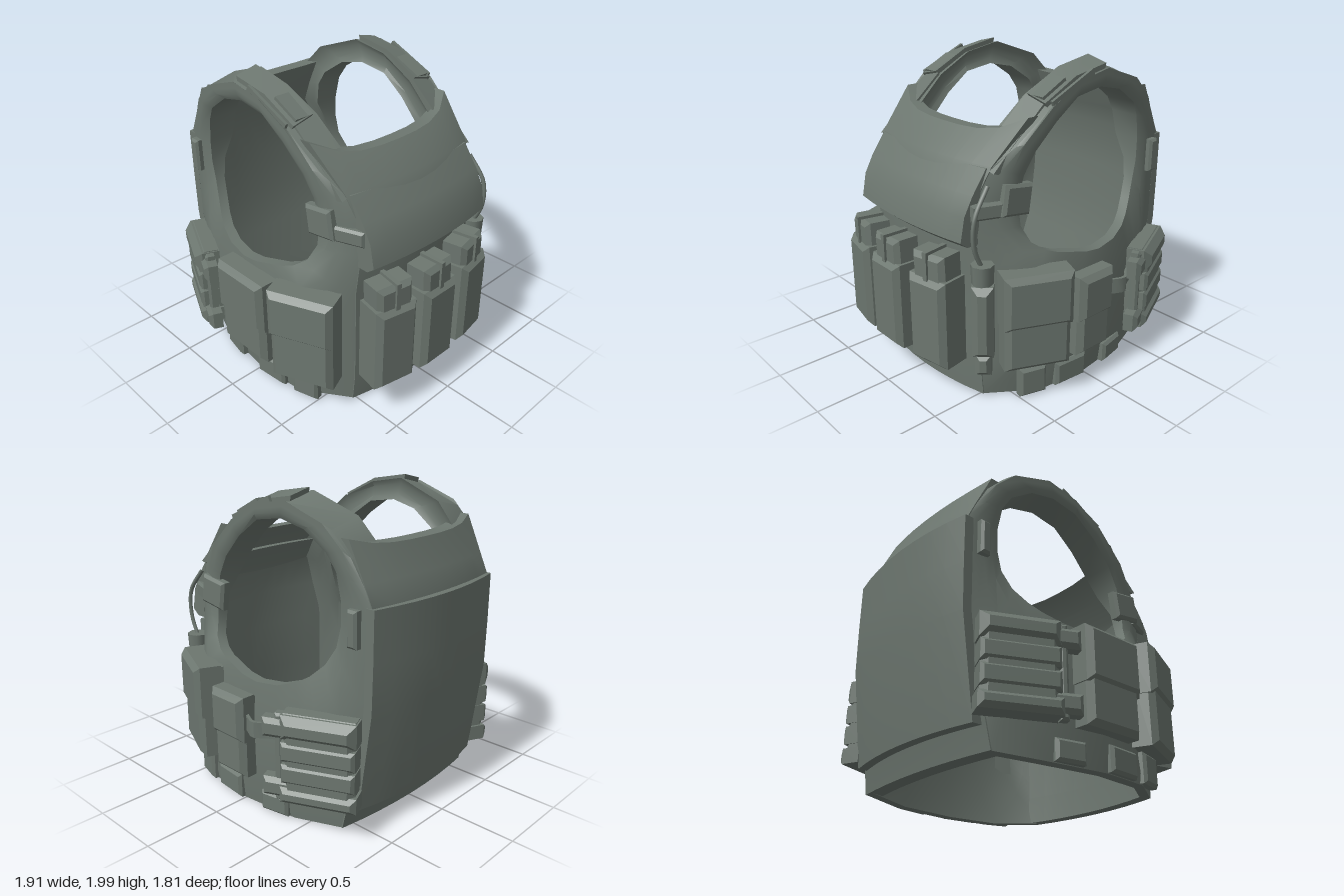
import * as THREE from 'three';
import { toCreasedNormals } from 'three/addons/utils/BufferGeometryUtils.js';

const fabric = new THREE.MeshStandardMaterial({ color: 0x6c766f });
fabric.name = 'grey green fabric';
const { smoothstep } = THREE.MathUtils;

// Skin a list of equal rings; each ring runs along one side and back along the other.
function loft(rings, closed = false, crease = 0.5) {
  const n = rings[0].length, R = rings.length, tris = [];
  const quad = (a, b, c, d) => tris.push([a, b, c], [a, c, d]);
  for (let r = 0; r < (closed ? R : R - 1); r++) {
    const A = rings[r], B = rings[(r + 1) % R];
    for (let i = 0; i < n; i++) { const k = (i + 1) % n; quad(A[i], A[k], B[k], B[i]); }
  }
  if (!closed) {
    const A = rings[0], B = rings[R - 1];
    for (let i = 0; i < n / 2 - 1; i++) {
      quad(A[n - 1 - i], A[n - 2 - i], A[i + 1], A[i]);
      quad(B[i], B[i + 1], B[n - 2 - i], B[n - 1 - i]);
    }
  }
  // turn the faces outward whichever way the rings run
  let volume = 0;
  const u = new THREE.Vector3(), v = new THREE.Vector3(), w = new THREE.Vector3();
  for (const [a, b, c] of tris) volume += u.set(...a).dot(v.set(...b).cross(w.set(...c)));
  const points = tris.flatMap(([a, b, c]) => (volume < 0 ? [a, c, b] : [a, b, c])).flat();
  const g = new THREE.BufferGeometry();
  g.setAttribute('position', new THREE.Float32BufferAttribute(points, 3));
  return toCreasedNormals(g, crease);
}

// Half width of the vest: the waist bulges out below the armholes, the front corners are rounded off
function halfWidth(x, y) {
  const k = smoothstep(y, 0.8, 1.17);
  const bulge = (0.2 - 0.16 * k) * Math.max(0, 1 - (x / 0.82) ** 2);
  return 0.57 + bulge - (0.12 - 0.05 * k) * smoothstep(x, 0.4, 0.72);
}

// Outer outline and armhole edge, paired, clockwise from the shoulder top: [ox, oy, hx, hy]
const frame = [
  [-0.28, 1.975, -0.22, 1.83], [-0.03, 1.93, -0.02, 1.80], [0.21, 1.81, 0.15, 1.68],
  [0.44, 1.61, 0.30, 1.53], [0.58, 1.48, 0.38, 1.40], [0.66, 1.32, 0.42, 1.25],
  [0.68, 1.10, 0.41, 1.10], [0.66, 0.85, 0.37, 1.00], [0.66, 0.50, 0.29, 0.94],
  [0.66, 0.20, 0.21, 0.91], [0.65, 0.02, 0.12, 0.89], [0.35, 0.01, 0.00, 0.86],
  [0.00, 0.01, -0.12, 0.845], [-0.40, 0.01, -0.28, 0.86], [-0.71, 0.03, -0.40, 0.90],
  [-0.74, 0.20, -0.48, 0.95], [-0.82, 0.50, -0.56, 1.03], [-0.86, 0.80, -0.62, 1.14],
  [-0.87, 1.10, -0.65, 1.27], [-0.87, 1.41, -0.65, 1.42], [-0.81, 1.54, -0.62, 1.58],
  [-0.73, 1.72, -0.56, 1.68], [-0.60, 1.86, -0.40, 1.79],
];

// One side of the vest with shoulder strap and armhole; s is the side along z
function sideFrame(s) {
  const rings = frame.map(([ox, oy, hx, hy]) => {
    const out = [], inn = [];
    const high = smoothstep(oy, 1.4, 1.8);
    for (let j = 0; j <= 4; j++) {
      const x = ox + (hx - ox) * j / 4, y = oy + (hy - oy) * j / 4;
      const z = halfWidth(x, y) + (j === 0 || j === 4 ? -0.015 : 0.005);
      const thick = 0.07 + (0.11 + 0.04 * Math.abs(x + 0.1)) * smoothstep(y, 1.15, 1.5);
      // the shoulder slopes down towards the arm
      out.push([x, y - (j === 0 ? 0.05 * high : 0), s * (z + 0.02 * high)]);
      inn.unshift([x, y, s * (z - thick)]);
    }
    return [...out, ...inn];
  });
  return loft(rings, true, 0.6);
}

// Webbing lying on the outline between two of its points
function strapBand(a, b, s, z0, z1, lift) {
  return loft(frame.slice(a, b + 1).map(([x, y]) => {
    const l = Math.hypot(x + 0.15, y - 1.3), nx = (x + 0.15) / l, ny = (y - 1.3) / l;
    const at = (h, z, drop) => [x + nx * h, y + ny * h - drop, s * z];
    return [at(-0.03, z0, 0), at(lift, z0, 0), at(lift, z1, 0.035), at(-0.03, z1, 0.035)];
  }), false, 0.3);
}

// Curved panel following rows of [x, y]; facing s along x, with the top edge rising at the ends
function panel(rows, s, width, bulge, thick, rise = 0) {
  const M = 8;
  return loft(rows.map(([x, y], r) => {
    const out = [], inn = [], w = width || halfWidth(x, y) - 0.01;
    for (let i = 0; i <= M; i++) {
      const t = i / M * 2 - 1, lift = r === 0 ? rise * t ** 4 : 0;
      const px = x + s * bulge * (1 - t * t) - s * lift * 0.8;
      out.push([px, y + lift, t * w]);
      inn.unshift([px - s * thick, y + lift, t * w]);
    }
    return [...out, ...inn];
  }));
}

// Box with a chamfered front (+z) face, centred on the origin
function pad(w, h, d, c = Math.min(w, h, d) * 0.3) {
  const rect = (z, i) => [
    [-w / 2 + i, -h / 2 + i, z], [w / 2 - i, -h / 2 + i, z],
    [w / 2 - i, h / 2 - i, z], [-w / 2 + i, h / 2 - i, z]];
  return loft([rect(-d / 2, 0), rect(d / 2 - c, 0), rect(d / 2, c)], false, 0.3);
}

function mesh(parent, name, geometry, x = 0, y = 0, z = 0, ry = 0, rz = 0) {
  const m = new THREE.Mesh(geometry, fabric);
  m.name = name;
  m.position.set(x, y, z);
  m.rotation.set(0, ry, rz);
  parent.add(m);
}

function group(parent, name, x, y, z, ry) {
  const g = new THREE.Group();
  g.name = name;
  g.position.set(x, y, z);
  g.rotation.y = ry;
  parent.add(g);
  return g;
}

// Pouch with an overlapping lid covering the upper part
function lidPouch(parent, name, w, h, d, x, y, z, ry, lid) {
  const g = group(parent, name, x, y, z, ry);
  mesh(g, 'pouchBody', pad(w * 0.96, h * 0.98, d, 0.035), 0, -h * 0.01, -0.01);
  mesh(g, 'pouchLid', pad(w, h * lid, d, 0.035), 0, h * (1 - lid) / 2, 0.01);
}

// Pouch wrapped with straps that end in buckles
function strappedPouch(parent, name, x, y, z, ry, side) {
  const g = group(parent, name, x, y, z, ry);
  mesh(g, 'pouchBody', pad(0.44, 0.56, 0.13));
  mesh(g, 'pouchLid', pad(0.46, 0.15, 0.16), 0, 0.2, 0.01);
  for (const h of [0.05, -0.09]) mesh(g, 'strap', pad(0.45, 0.12, 0.145, 0.02), 0, h, 0.005);
  mesh(g, 'lowerStrap', pad(0.47, 0.1, 0.15), 0, -0.23, 0.01);
  mesh(g, 'standingStrap', pad(0.05, 0.56, 0.06), side * 0.25, -0.01, 0);
  for (const h of [0.18, -0.2]) mesh(g, 'buckle', pad(0.2, 0.12, 0.09), side * 0.25, h, 0.01);
}

export function createModel() {
  const vest = new THREE.Group();
  vest.name = 'vest';

  // Shell: two sides, chest and back
  for (const s of [1, -1]) mesh(vest, s > 0 ? 'nearSide' : 'farSide', sideFrame(s));
  const outline = (a, b) => frame.slice(a, b).map(([x, y]) => [x, y]);
  mesh(vest, 'chestPanel', panel([[0.43, 1.63], ...outline(4, 11)], 1, 0, 0.07, 0.08, 0.1));
  mesh(vest, 'backPanel', panel([[-0.74, 1.72], ...outline(14, 21).reverse()], -1, 0, 0.05, 0.1, 0.05));
  mesh(vest, 'chestFlap', panel([[0.6, 1.47], [0.7, 1.33], [0.76, 1.22], [0.79, 1.07], [0.74, 1.03]], 1, 0.515, 0.045, 0.12));
  mesh(vest, 'backPlate', panel([[-0.89, 1.415], [-0.89, 1.1], [-0.885, 0.8], [-0.8, 0.17]], -1, 0.57, 0.07, 0.06));

  // Shoulder straps: pads, webbing, buckles and tabs
  for (const s of [1, -1]) {
    const g = group(vest, 'shoulderStrap', 0, 0, 0, 0), face = s > 0 ? 0 : Math.PI;
    mesh(g, 'topPad', strapBand(0, 2, s, 0.44, 0.59, 0.022));
    mesh(g, 'frontWebbing', strapBand(2, 4, s, 0.42, 0.57, 0.012));
    mesh(g, 'topBuckle', new THREE.BoxGeometry(0.2, 0.04, 0.11), 0.12, 1.85, s * 0.51, 0, -0.47);
    mesh(g, 'sideWebbing', new THREE.BoxGeometry(0.36, 0.06, 0.02), 0.02, 1.85, s * 0.615, 0, -0.42);
    mesh(g, 'frontTab', pad(0.21, 0.19, 0.06), 0.44, 1.27, s * 0.59, face, s * 0.15);
    mesh(g, 'cornerBand', pad(0.2, 0.1, 0.05), 0.62, 1.23, s * 0.54, s > 0 ? 0.35 : Math.PI - 0.35);
    mesh(g, 'rearTab', pad(0.07, 0.22, 0.05), -0.77, 1.29, s * 0.6, face);
  }

  // Three magazine pouches across the chest
  for (const [z, x, turn] of [[0.4, 0.82, -0.2], [0.065, 0.855, 0], [-0.3, 0.82, 0.17]]) {
    const g = group(vest, 'magazinePouch', x, 0.53, z, Math.PI / 2 + turn);
    mesh(g, 'pouchBody', pad(0.29, 0.57, 0.2, 0.035));
    mesh(g, 'magazine', pad(0.25, 0.24, 0.16, 0.03), 0, 0.31, -0.01, 0, 0.04);
    mesh(g, 'retainer', new THREE.BoxGeometry(0.03, 0.02, 0.17), 0, 0.44, -0.005);
    mesh(g, 'retainerFront', new THREE.BoxGeometry(0.03, 0.18, 0.02), 0, 0.36, 0.075);
  }

  // Pouches round the waist on both sides
  strappedPouch(vest, 'nearStrappedPouch', -0.62, 0.49, 0.725, -0.43, 1);
  lidPouch(vest, 'nearMiddlePouch', 0.44, 0.6, 0.15, -0.02, 0.52, 0.81, 0, 0.58);
  lidPouch(vest, 'nearFrontPouch', 0.43, 0.65, 0.17, 0.45, 0.53, 0.75, 0.4, 0.5);
  strappedPouch(vest, 'farStrappedPouch', -0.63, 0.49, -0.715, Math.PI + 0.43, -1);
  lidPouch(vest, 'farMiddlePouch', 0.29, 0.54, 0.12, 0.02, 0.5, -0.82, Math.PI, 0.55);
  lidPouch(vest, 'farFrontPouch', 0.43, 0.62, 0.17, 0.42, 0.56, -0.745, Math.PI - 0.42, 0.55);

  // Loose webbing loop between the far pouches
  const loop = new THREE.CatmullRomCurve3([[-0.4, -0.78], [-0.3, -0.83], [-0.23, -0.88], [-0.13, -0.84]]
    .map(([x, z]) => new THREE.Vector3(x, 0.62, z)));
  mesh(vest, 'webbingLoop', loft(loop.getPoints(8).map(p => [
    [p.x, 0.56, p.z], [p.x, 0.66, p.z], [p.x, 0.66, p.z + 0.02], [p.x, 0.56, p.z + 0.02]])));

  // Slim radio pouch with knob and cable at the far front corner
  const radio = group(vest, 'radioPouch', 0.68, 0, -0.57, Math.PI * 0.75);
  mesh(radio, 'radioBody', pad(0.13, 0.46, 0.14), 0, 0.56, -0.01);
  mesh(radio, 'radioBase', pad(0.1, 0.14, 0.1), 0, 0.27, -0.01);
  mesh(radio, 'radioKnob', new THREE.CylinderGeometry(0.07, 0.065, 0.12, 8), 0, 0.87, 0);
  const cable = new THREE.CatmullRomCurve3([[0.68, 0.9, -0.57], [0.74, 1.05, -0.57], [0.73, 1.22, -0.57], [0.62, 1.38, -0.55]]
    .map(p => new THREE.Vector3(...p)));
  mesh(vest, 'cable', new THREE.TubeGeometry(cable, 12, 0.014, 6));

  // Webbing tabs hanging at the lower hem
  for (const s of [1, -1]) {
    for (const [x, w, h] of [[-0.27, 0.2, 0.13], [0.13, 0.24, 0.16], [0.41, 0.18, 0.19]]) {
      const turn = x * 0.7;
      mesh(vest, 'hemTab', pad(w, h, 0.06), x, 0.015 + h / 2, s * (halfWidth(x, 0) - 0.01), s > 0 ? turn : Math.PI - turn);
    }
  }
  return vest;
}
